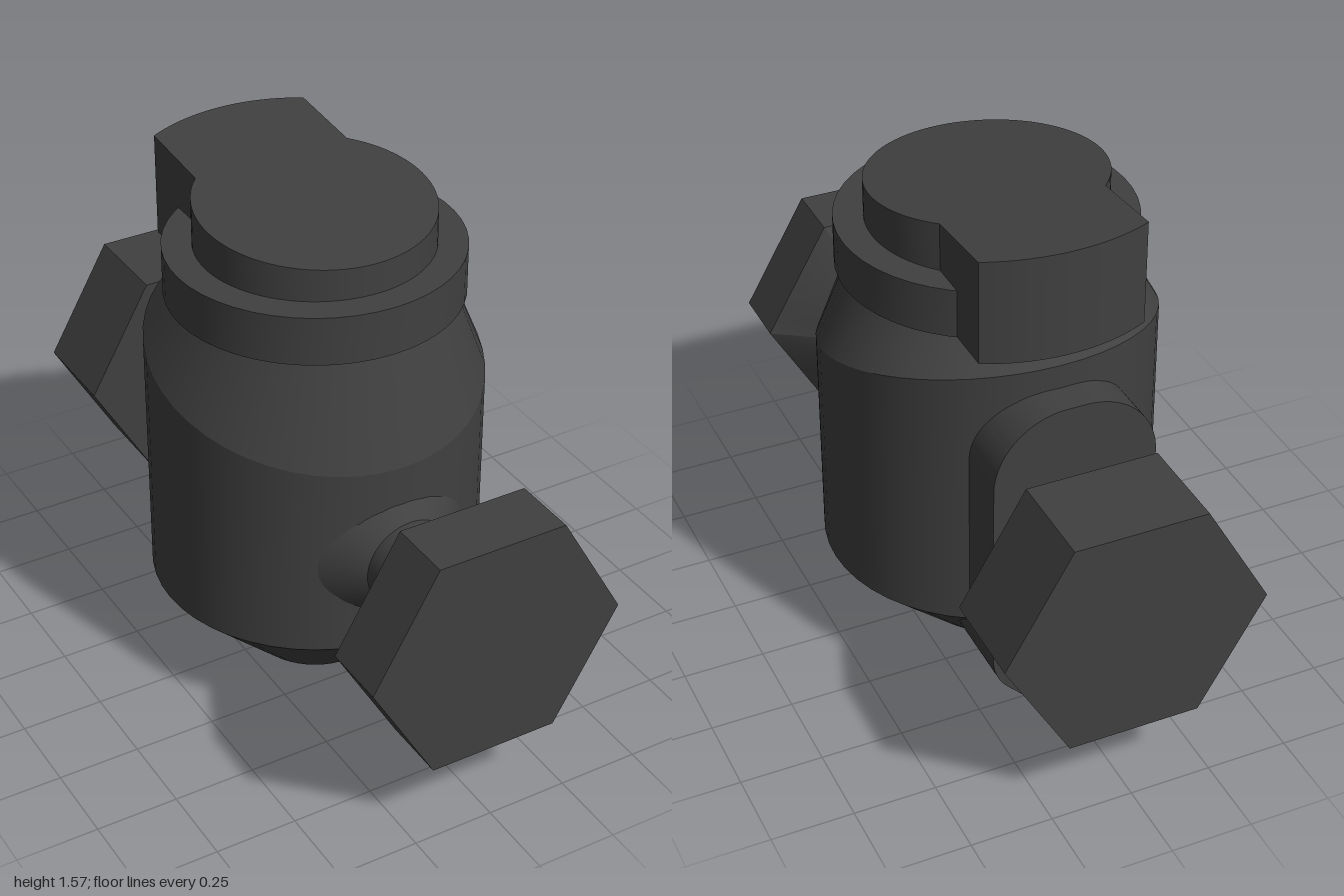
import * as THREE from 'three';
import { toCreasedNormals } from 'three/addons/utils/BufferGeometryUtils.js';

const SEG = 48;
const AXIS_Y = 0.595; // height of the two side fittings

// Ring of constant radius and height
const circle = (r, y) => (t) => [r * Math.sin(t), y, r * Math.cos(t)];

// Surface between two rings, lower one first
function loft(lower, upper) {
  const pos = [], index = [];
  for (let i = 0; i < SEG; i++) {
    const t = (i / SEG) * Math.PI * 2;
    pos.push(...lower(t), ...upper(t));
    const a = 2 * i, b = 2 * ((i + 1) % SEG);
    index.push(a, b, b + 1, a, b + 1, a + 1);
  }
  const g = new THREE.BufferGeometry();
  g.setAttribute('position', new THREE.Float32BufferAttribute(pos, 3));
  g.setIndex(index);
  return g;
}

// Cylinder or cone lying along z from z0 to z1
function rod(r0, r1, z0, z1, sides = SEG) {
  const g = new THREE.CylinderGeometry(r1, r0, z1 - z0, sides);
  if (sides === 6) g.rotateY(Math.PI / 6);
  return g.rotateX(Math.PI / 2).translate(0, AXIS_Y, (z0 + z1) / 2);
}

export function createModel() {
  const model = new THREE.Group();
  model.name = 'valve';
  const material = new THREE.MeshStandardMaterial({ color: 0x404040 });
  const add = (name, geometry) => {
    const mesh = new THREE.Mesh(toCreasedNormals(geometry, 0.3), material);
    mesh.name = name;
    model.add(mesh);
  };

  // Body: cone foot, barrel with a slanted upper rim, shoulder up to the collar
  const slantedRim = (t) => {
    const z = 0.5 * Math.cos(t);
    return [0.5 * Math.sin(t), 1.0325 - 0.265 * z, z];
  };
  add('bodyBase', new THREE.CircleGeometry(0.2, SEG).rotateX(Math.PI / 2));
  add('bodyFoot', loft(circle(0.2, 0), circle(0.5, 0.3)));
  add('bodyBarrel', loft(circle(0.5, 0.3), slantedRim));
  add('bodyShoulder', loft(slantedRim, circle(0.4, 1.24)));
  add('collar', new THREE.CylinderGeometry(0.438, 0.438, 0.15, SEG).translate(0, 1.315, 0));

  // Cap: round disc with a rear lug, cut by a sloping top plane
  const capShape = new THREE.Shape();
  const lugAngle = Math.acos(0.25 / 0.56), neckAngle = Math.acos(0.25 / 0.35);
  capShape.absarc(0, 0, 0.56, lugAngle, Math.PI - lugAngle, false);
  capShape.absarc(0, 0, 0.35, Math.PI - neckAngle, Math.PI * 2 + neckAngle, false);
  capShape.closePath();
  const cap = new THREE.ExtrudeGeometry(capShape, { depth: 0.3, bevelEnabled: false, curveSegments: 32 });
  cap.rotateX(-Math.PI / 2).translate(0, 1.24, 0);
  const p = cap.attributes.position;
  for (let i = 0; i < p.count; i++) {
    if (p.getY(i) > 1.4) p.setY(i, 1.516 - 0.088 * p.getZ(i));
  }
  add('cap', cap);

  // Rear plate: rounded top, tapering to a narrow foot
  const plate = new THREE.Shape();
  plate.moveTo(-0.05, 0);
  plate.lineTo(0.05, 0);
  plate.lineTo(0.2, 0.15);
  plate.quadraticCurveTo(0.25, 0.2, 0.25, 0.27);
  plate.absarc(0.03, 0.87, 0.22, 0, Math.PI / 2, false);
  plate.absarc(-0.03, 0.87, 0.22, Math.PI / 2, Math.PI, false);
  plate.lineTo(-0.25, 0.27);
  plate.quadraticCurveTo(-0.25, 0.2, -0.2, 0.15);
  plate.closePath();
  add('rearPlate', new THREE.ExtrudeGeometry(plate, { depth: 0.5, bevelEnabled: false, curveSegments: 16 })
    .translate(0, 0, -0.6));

  // Rear fitting
  add('rearPipe', rod(0.19, 0.19, -0.72, -0.58));
  add('rearHexNut', rod(0.4, 0.4, -1, -0.7, 6));

  // Front fitting, with a flare at the body and a hex-to-round taper
  add('frontFlare', rod(0.27, 0.14, 0.41, 0.54));
  add('frontPipe', rod(0.14, 0.14, 0.5, 0.7));
  add('frontHexNut', rod(0.4, 0.4, 0.8, 1, 6));
  const sector = Math.PI / 3;
  const hexRing = (t) => {
    const r = 0.3464 / Math.cos(((t + sector / 2) % sector) - sector / 2);
    return circle(r, 0.8)(t);
  };
  add('frontNutTaper', loft(circle(0.195, 0.67), hexRing).rotateX(Math.PI / 2).translate(0, AXIS_Y, 0));
  add('frontNutShoulder', new THREE.CircleGeometry(0.195, SEG).rotateY(Math.PI).translate(0, AXIS_Y, 0.67));

  return model;
}
